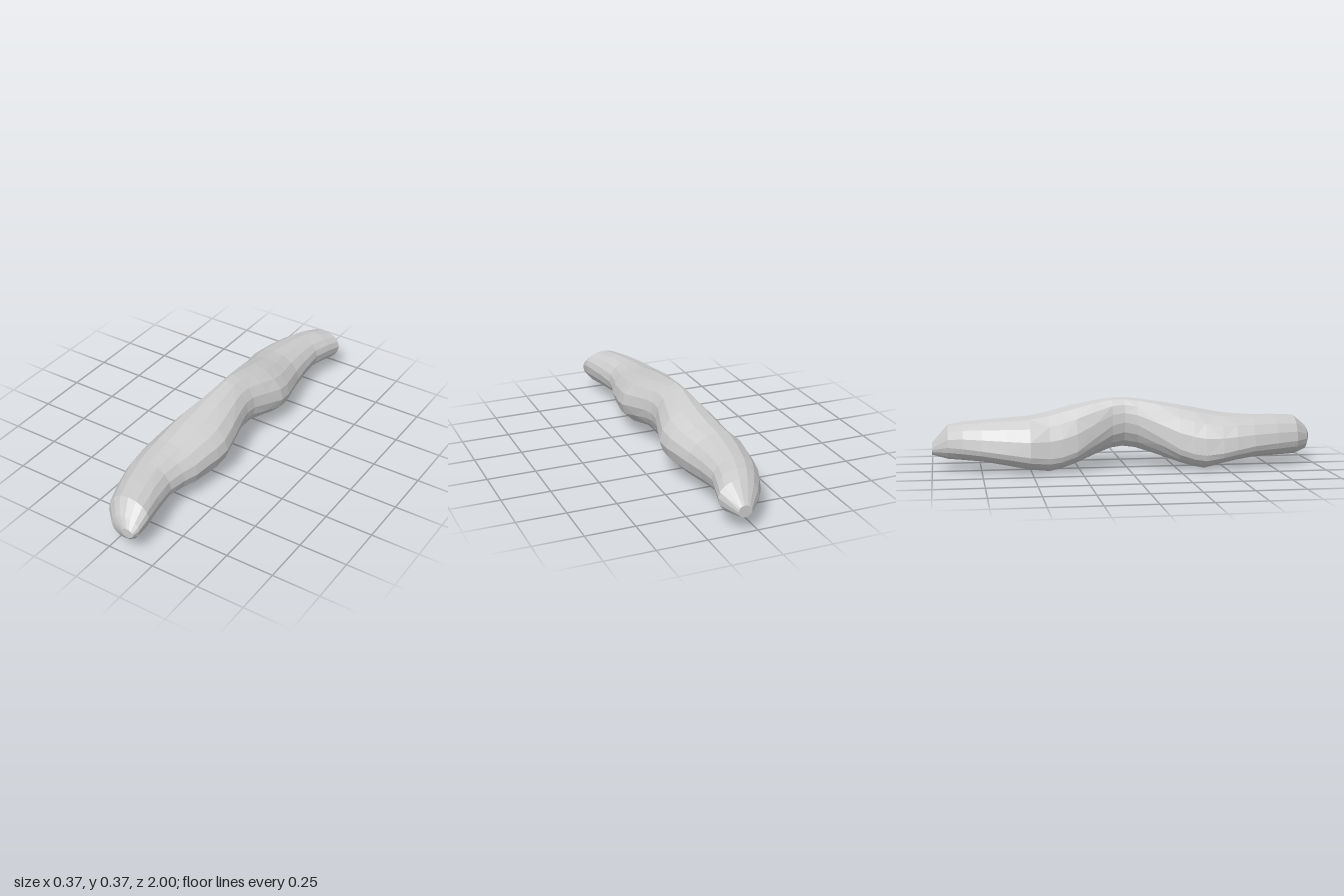
import * as THREE from 'three';

// Key cross-sections along the body, front to back:
// [z, xMin, xMax, yMin, yMax, x of top, x of bottom, y of left bulge, y of right bulge]
const KEYS = [
  [1.0, 0.08, 0.145, 0.11, 0.16, 0.11, 0.11, 0.135, 0.135],
  [0.97, 0.0, 0.16, 0.07, 0.2, 0.08, 0.07, 0.13, 0.15],
  [0.9, -0.07, 0.165, 0.05, 0.255, 0.05, 0.04, 0.13, 0.18],
  [0.65, -0.16, 0.115, 0.05, 0.27, -0.01, -0.04, 0.12, 0.16],
  [0.48, -0.185, 0.155, 0.025, 0.287, -0.02, -0.07, 0.09, 0.16],
  [0.39, -0.18, 0.17, 0.003, 0.305, -0.02, -0.08, 0.08, 0.17],
  [0.26, -0.15, 0.185, 0.033, 0.33, -0.02, -0.04, 0.11, 0.18],
  [0.05, -0.075, 0.14, 0.1, 0.363, -0.01, 0.04, 0.23, 0.22],
  [-0.08, -0.07, 0.13, 0.1, 0.37, -0.01, 0.04, 0.23, 0.22],
  [-0.27, -0.145, 0.185, 0.04, 0.338, 0.0, -0.04, 0.11, 0.18],
  [-0.41, -0.17, 0.165, 0.005, 0.303, -0.01, -0.08, 0.08, 0.17],
  [-0.51, -0.187, 0.14, 0.015, 0.285, -0.02, -0.07, 0.09, 0.16],
  [-0.75, -0.13, 0.12, 0.055, 0.264, 0.01, -0.02, 0.12, 0.17],
  [-0.92, -0.045, 0.165, 0.06, 0.235, 0.06, 0.05, 0.13, 0.16],
  [-1.0, 0.03, 0.1, 0.08, 0.14, 0.07, 0.07, 0.11, 0.11],
];
const SIDES = 16;

// Adds a smoothly interpolated section in the middle of each long span
function refine(keys) {
  const out = [];
  keys.forEach((key, i) => {
    out.push(key);
    const next = keys[i + 1];
    if (!next || key[0] - next[0] < 0.12) return;
    const before = keys[i - 1], after = keys[i + 2];
    out.push(key.map((v, n) => (9 * (v + next[n]) - before[n] - after[n]) / 16));
  });
  return out;
}

// Four quarter-ellipses joined at the extreme points of the section
function sectionPoint([z, x0, x1, y0, y1, topX, botX, leftY, rightY], a) {
  const c = Math.cos(a), s = Math.sin(a);
  const midX = s >= 0 ? topX : botX;
  const midY = c >= 0 ? rightY : leftY;
  return [
    midX + (c >= 0 ? x1 - midX : midX - x0) * c,
    midY + (s >= 0 ? y1 - midY : midY - y0) * s,
    z,
  ];
}

function bodyGeometry() {
  const sections = refine(KEYS);
  const pos = [], index = [];
  for (const section of sections) {
    for (let j = 0; j < SIDES; j++) pos.push(...sectionPoint(section, (j / SIDES) * Math.PI * 2));
  }
  // Skin between neighbouring rings, with alternating diagonals for a faceted look
  const last = sections.length - 1;
  for (let i = 0; i < last; i++) {
    for (let j = 0; j < SIDES; j++) {
      const k = (j + 1) % SIDES;
      const a = i * SIDES + j, b = a + SIDES, c = (i + 1) * SIDES + k, d = i * SIDES + k;
      if ((i + j) % 2) index.push(a, b, c, a, c, d);
      else index.push(a, b, d, b, c, d);
    }
  }
  // End caps
  for (const i of [0, last]) {
    const [z, x0, x1, y0, y1] = sections[i];
    const centre = pos.length / 3;
    pos.push((x0 + x1) / 2, (y0 + y1) / 2, z);
    for (let j = 0; j < SIDES; j++) {
      const a = i * SIDES + j, b = i * SIDES + ((j + 1) % SIDES);
      if (i === 0) index.push(centre, a, b);
      else index.push(centre, b, a);
    }
  }
  const geometry = new THREE.BufferGeometry();
  geometry.setAttribute('position', new THREE.Float32BufferAttribute(pos, 3));
  geometry.setIndex(index);
  geometry.computeVertexNormals();
  return geometry;
}

export function createModel() {
  const group = new THREE.Group();
  group.name = 'archedLog';
  const material = new THREE.MeshStandardMaterial({ color: 0xcccccc, flatShading: true });
  const body = new THREE.Mesh(bodyGeometry(), material);
  body.name = 'body';
  group.add(body);
  return group;
}
